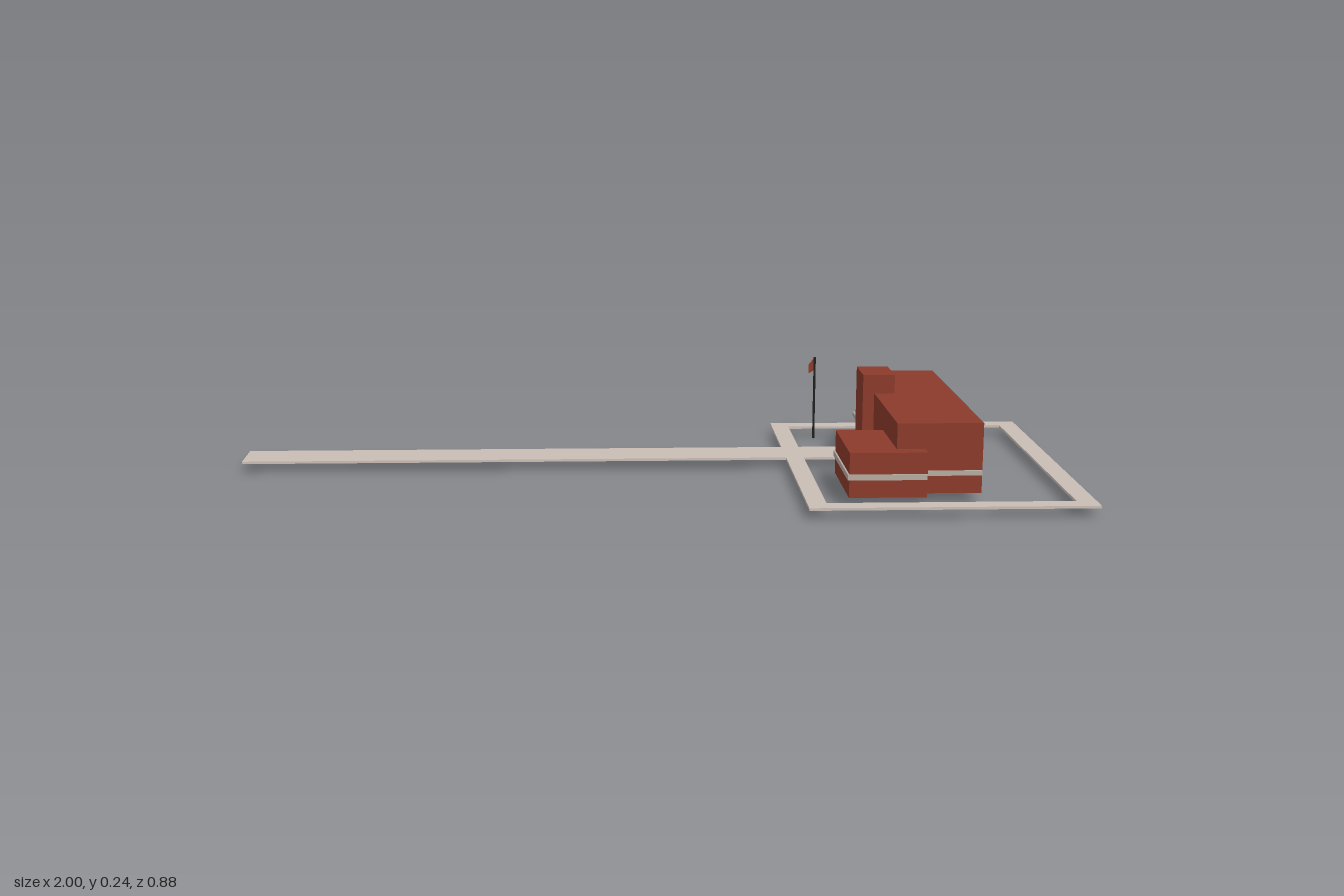
import * as THREE from 'three';

const material = (color, side = THREE.FrontSide) =>
  new THREE.MeshStandardMaterial({ color, side, flatShading: true });

const brick = material(0x8b3a2b);
const stone = material(0xb5aaa0);
const paving = material(0xc9bdb5);
const iron = material(0x222222);
const cloth = material(0xc0523f, THREE.DoubleSide);

const GROUND = 0.025;

// Box given by its limits on each axis
function block(name, mat, [x0, x1], [y0, y1], [z0, z1]) {
  const mesh = new THREE.Mesh(new THREE.BoxGeometry(x1 - x0, y1 - y0, z1 - z0), mat);
  mesh.name = name;
  mesh.position.set((x0 + x1) / 2, (y0 + y1) / 2, (z0 + z1) / 2);
  return mesh;
}

// Ring walk with the approach path running through its side to the tower
function createPaving() {
  const points = (list) => list.map(([x, z]) => new THREE.Vector2(x, -z));
  const shape = new THREE.Shape(points([
    [0.343, 0.44], [1, 0.44], [1, -0.44], [0.343, -0.44],
    [0.343, -0.16], [-1, -0.16], [-1, -0.045], [0.343, -0.045],
  ]));
  shape.holes.push(new THREE.Path(points([
    [0.387, 0.396], [0.387, -0.045], [0.53, -0.045], [0.53, -0.16],
    [0.387, -0.16], [0.387, -0.396], [0.954, -0.396], [0.954, 0.396],
  ])));
  const geometry = new THREE.ExtrudeGeometry(shape, { depth: 0.006, bevelEnabled: false });
  geometry.rotateX(-Math.PI / 2);
  const mesh = new THREE.Mesh(geometry, paving);
  mesh.name = 'paths';
  mesh.position.y = 0.022;
  return mesh;
}

// Drooping flag: columns of [x, z, top, bottom] joined into a sheet
function createFlag() {
  const columns = [
    [0.452, -0.383, 0.213, 0.184],
    [0.454, -0.404, 0.213, 0.181],
    [0.449, -0.42, 0.202, 0.172],
    [0.443, -0.437, 0.189, 0.165],
  ];
  const positions = [];
  const index = [];
  columns.forEach(([x, z, top, bottom], i) => {
    positions.push(x, top, z, x, bottom, z);
    if (i > 0) {
      const a = 2 * i - 2;
      index.push(a, a + 1, a + 2, a + 1, a + 3, a + 2);
    }
  });
  const geometry = new THREE.BufferGeometry();
  geometry.setAttribute('position', new THREE.Float32BufferAttribute(positions, 3));
  geometry.setIndex(index);
  geometry.computeVertexNormals();
  const mesh = new THREE.Mesh(geometry, cloth);
  mesh.name = 'flag';
  return mesh;
}

export function createModel() {
  const model = new THREE.Group();
  model.name = 'buildingWithGrounds';
  model.add(createPaving());

  // Brick volumes
  model.add(
    block('mainHall', brick, [0.558, 0.757], [GROUND, 0.19], [-0.336, 0.306]),
    block('lowWing', brick, [0.445, 0.624], [GROUND, 0.13], [0.103, 0.342]),
    block('entranceTower', brick, [0.53, 0.608], [GROUND, 0.236], [-0.152, -0.04]),
  );

  // Stone bands standing slightly proud of the walls
  model.add(
    block('mainHallBand', stone, [0.551, 0.756], [0.068, 0.079], [-0.343, 0.313]),
    block('lowWingBand', stone, [0.441, 0.623], [0.067, 0.08], [0.099, 0.347]),
  );

  // Flagpole and flag
  const pole = new THREE.Mesh(new THREE.CylinderGeometry(0.003, 0.003, 0.219, 8), iron);
  pole.name = 'flagpole';
  pole.position.set(0.452, 0.1095, -0.38);
  model.add(pole, createFlag());

  return model;
}
